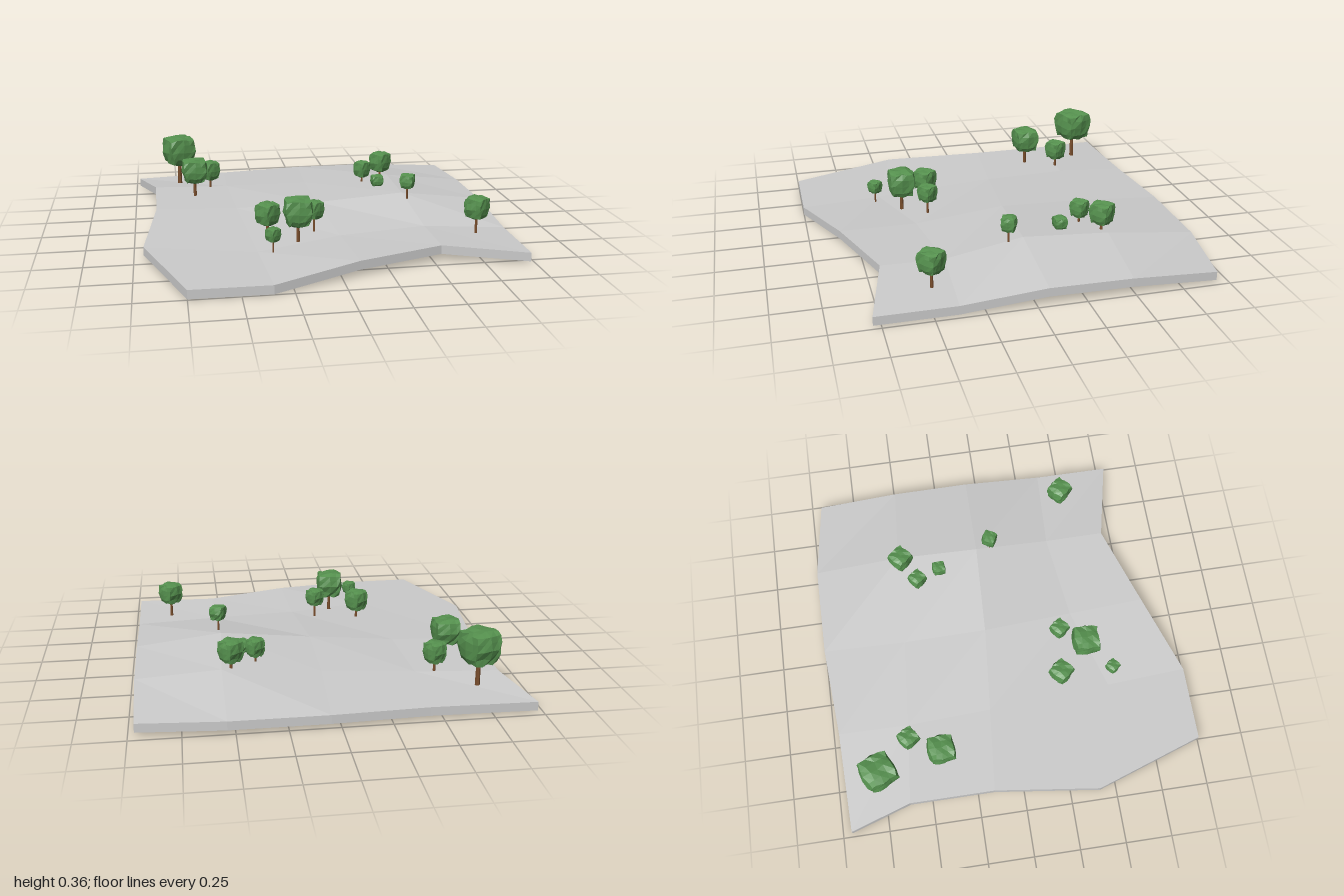
import * as THREE from 'three';

const THICKNESS = 0.046;

// Ground control points, back row to front row: [x, z, height]
const ROWS = [
  [[-0.98, -0.95, 0.048], [-0.44, -0.965, 0.062], [0.05, -1, 0.07], [0.54, -1, 0.07], [0.97, -0.94, 0.058]],
  [[-0.88, -0.62, 0.08], [-0.45, -0.58, 0.08], [0.03, -0.54, 0.092], [0.54, -0.52, 0.125], [0.98, -0.49, 0.085]],
  [[-0.88, -0.16, 0.08], [-0.43, -0.12, 0.08], [0.03, -0.08, 0.105], [0.52, -0.06, 0.145], [0.98, -0.06, 0.09]],
  [[-0.95, 0.41, 0.062], [-0.38, 0.56, 0.057], [0.07, 0.42, 0.072], [0.54, 0.36, 0.08], [0.98, 0.38, 0.055]],
  [[-0.75, 1, 0.052], [-0.35, 1, 0.05], [0.09, 0.84, 0.084], [0.54, 0.69, 0.085], [0.98, 0.79, 0.055]],
];

// Trees: [x, z, trunk foot, crown bottom, crown top, crown width, turn]
const TREES = [
  [-0.73, -0.75, 0.06, 0.19, 0.36, 0.16, 0.38],
  [-0.65, -0.41, 0.07, 0.165, 0.3, 0.13, 0.06],
  [-0.55, -0.58, 0.07, 0.13, 0.24, 0.09, 0.55],
  [0.36, -0.42, 0.1, 0.15, 0.245, 0.076, 0.65],
  [0.49, -0.5, 0.11, 0.16, 0.275, 0.1, 0.7],
  [0.425, -0.29, 0.1, 0.125, 0.19, 0.066, 0.03],
  [0.53, 0.02, 0.11, 0.195, 0.275, 0.072, -0.5],
  [0.79, 0.475, 0.05, 0.15, 0.265, 0.103, 0.72],
  [-0.3, 0.3, 0.06, 0.115, 0.232, 0.1, 0.7],
  [-0.16, 0.46, 0.055, 0.155, 0.3, 0.132, -0.03],
  [-0.055, 0.33, 0.06, 0.145, 0.24, 0.08, 0.65],
  [-0.305, 0.59, 0.05, 0.12, 0.19, 0.06, 0.65],
];

// Faceted slab following the control points, with walls and underside
function groundGeometry() {
  const positions = [];
  const top = (r, c) => [ROWS[r][c][0], ROWS[r][c][2], ROWS[r][c][1]];
  const low = (r, c) => [ROWS[r][c][0], Math.max(0, ROWS[r][c][2] - THICKNESS), ROWS[r][c][1]];
  const quad = (a, b, c, d) => positions.push(...a, ...b, ...c, ...a, ...c, ...d);
  for (let r = 0; r < 4; r++) {
    for (let c = 0; c < 4; c++) {
      quad(top(r, c), top(r + 1, c), top(r + 1, c + 1), top(r, c + 1));
      quad(low(r, c), low(r, c + 1), low(r + 1, c + 1), low(r + 1, c));
    }
  }
  for (let i = 0; i < 4; i++) {
    quad(low(4, i), low(4, i + 1), top(4, i + 1), top(4, i)); // front
    quad(low(0, i + 1), low(0, i), top(0, i), top(0, i + 1)); // back
    quad(low(i, 0), low(i + 1, 0), top(i + 1, 0), top(i, 0)); // right side
    quad(low(i + 1, 4), low(i, 4), top(i, 4), top(i + 1, 4)); // left side
  }
  const geometry = new THREE.BufferGeometry();
  geometry.setAttribute('position', new THREE.Float32BufferAttribute(positions, 3));
  geometry.computeVertexNormals();
  return geometry;
}

// Repeatable noise per corner, so shared corners stay together
function noise(x, y, z, seed) {
  const n = Math.sin(Math.round(x * 8) * 12.9 + Math.round(y * 8) * 78.2 + Math.round(z * 8) * 37.7 + seed) * 43758.5;
  return n - Math.floor(n) - 0.5;
}

// Lumpy unit block: half cube, half ball, narrower towards the bottom
function crownGeometry() {
  const geometry = new THREE.BoxGeometry(1, 1, 1, 4, 4, 4);
  const p = geometry.attributes.position;
  const v = new THREE.Vector3();
  for (let i = 0; i < p.count; i++) {
    v.fromBufferAttribute(p, i);
    const [x, y, z] = v.toArray();
    const ball = v.clone().setLength(0.56);
    v.lerp(ball, 0.45);
    const taper = y < 0 ? 1 + y * 0.22 : 1;
    p.setXYZ(i,
      v.x * taper * 1.08 + noise(x, y, z, 1) * 0.09,
      v.y + noise(x, y, z, 2) * 0.09,
      v.z * taper * 1.08 + noise(x, y, z, 3) * 0.09);
  }
  geometry.computeVertexNormals();
  return geometry;
}

export function createModel() {
  const model = new THREE.Group();
  model.name = 'landscape';

  const groundMaterial = new THREE.MeshStandardMaterial({ color: 0xcccccc, flatShading: true });
  const leafMaterial = new THREE.MeshStandardMaterial({ color: 0x56924f, flatShading: true });
  const barkMaterial = new THREE.MeshStandardMaterial({ color: 0x7a4e2c, flatShading: true });

  const ground = new THREE.Mesh(groundGeometry(), groundMaterial);
  ground.name = 'ground';
  model.add(ground);

  const crownShape = crownGeometry();
  const trunkShape = new THREE.CylinderGeometry(0.8, 1, 1, 6);

  for (const [x, z, foot, bottom, top, width, turn] of TREES) {
    const tree = new THREE.Group();
    tree.name = 'tree';
    tree.position.set(x, 0, z);
    tree.rotation.y = turn;

    // Trunk reaches into the crown
    const trunkTop = bottom + (top - bottom) * 0.35;
    const radius = width * 0.08;
    const trunk = new THREE.Mesh(trunkShape, barkMaterial);
    trunk.name = 'trunk';
    trunk.scale.set(radius, trunkTop - foot, radius);
    trunk.position.y = (foot + trunkTop) / 2;

    const crown = new THREE.Mesh(crownShape, leafMaterial);
    crown.name = 'crown';
    crown.scale.set(width, top - bottom, width);
    crown.position.y = (bottom + top) / 2;

    tree.add(trunk, crown);
    model.add(tree);
  }
  return model;
}
